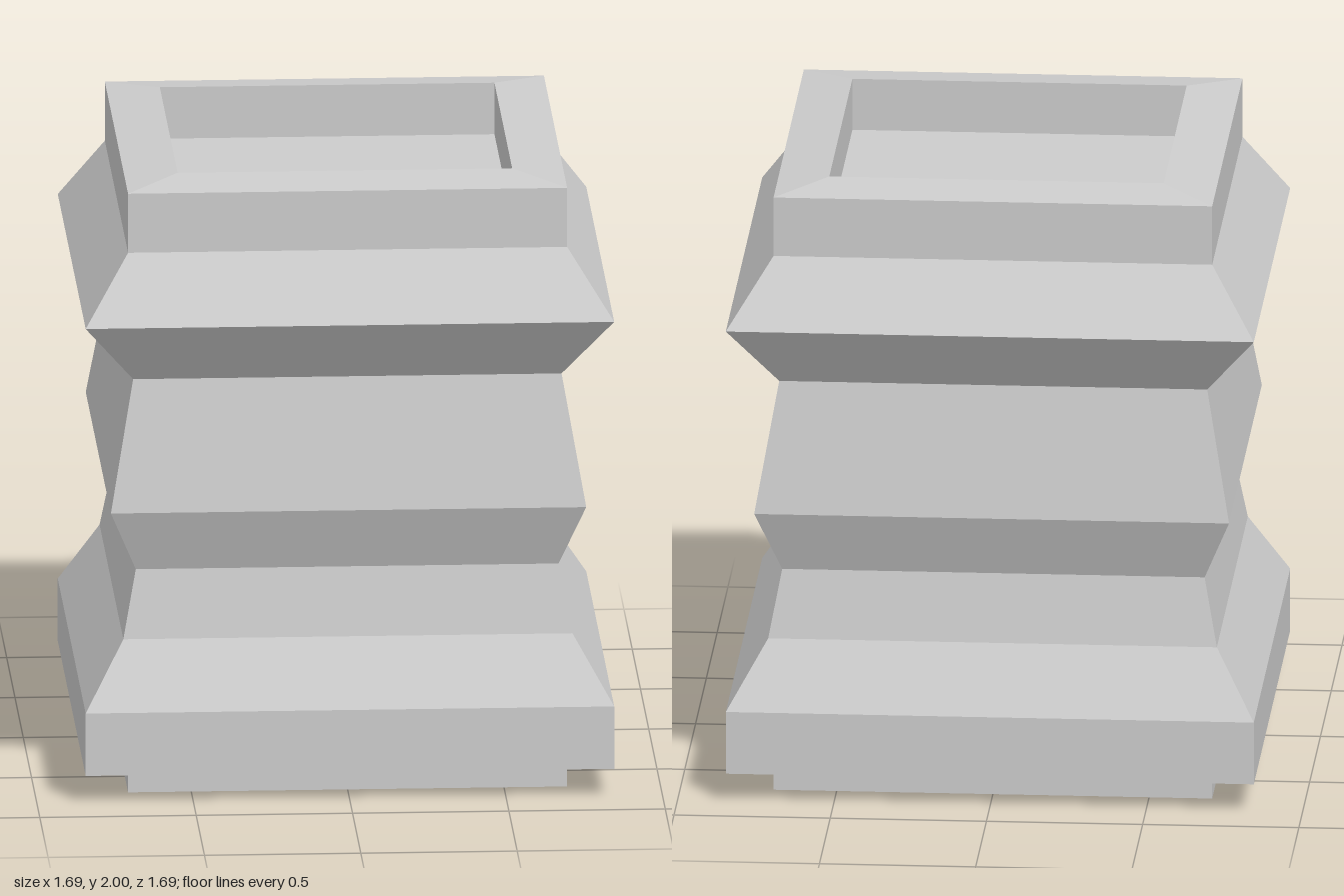
import * as THREE from 'three';

const material = new THREE.MeshStandardMaterial({ color: 0xcccccc, flatShading: true });

// Sweeps a [halfWidth, y] profile around a square plan, with sides facing x and z.
function squareTurned(name, profile) {
  const points = profile.map(([half, y]) => new THREE.Vector2(half * Math.SQRT2, y));
  const geometry = new THREE.LatheGeometry(points, 4, Math.PI / 4).toNonIndexed();
  geometry.computeVertexNormals();
  const mesh = new THREE.Mesh(geometry, material);
  mesh.name = name;
  return mesh;
}

export function createModel() {
  const group = new THREE.Group();
  group.name = 'squarePedestal';

  // Hollow foot: recessed underside, narrow rim, outer wall
  group.add(squareTurned('foot', [
    [0, 0.09], [0.626, 0.09], [0.626, 0], [0.702, 0], [0.702, 0.094],
  ]));

  // Base block with its underside and sloping shoulders
  group.add(squareTurned('base', [
    [0.702, 0.094], [0.845, 0.094], [0.845, 0.3], [0.718, 0.51], [0.676, 0.73],
  ]));

  // Waisted shaft
  group.add(squareTurned('shaft', [
    [0.676, 0.73], [0.76, 0.937], [0.685, 1.36],
  ]));

  // Projecting collar and upright neck
  group.add(squareTurned('collar', [
    [0.685, 1.36], [0.845, 1.57], [0.702, 1.782], [0.702, 1.977],
  ]));

  // Bevelled rim and sunken tray
  group.add(squareTurned('topTray', [
    [0.702, 1.977], [0.535, 2], [0.535, 1.83], [0, 1.83],
  ]));

  return group;
}
